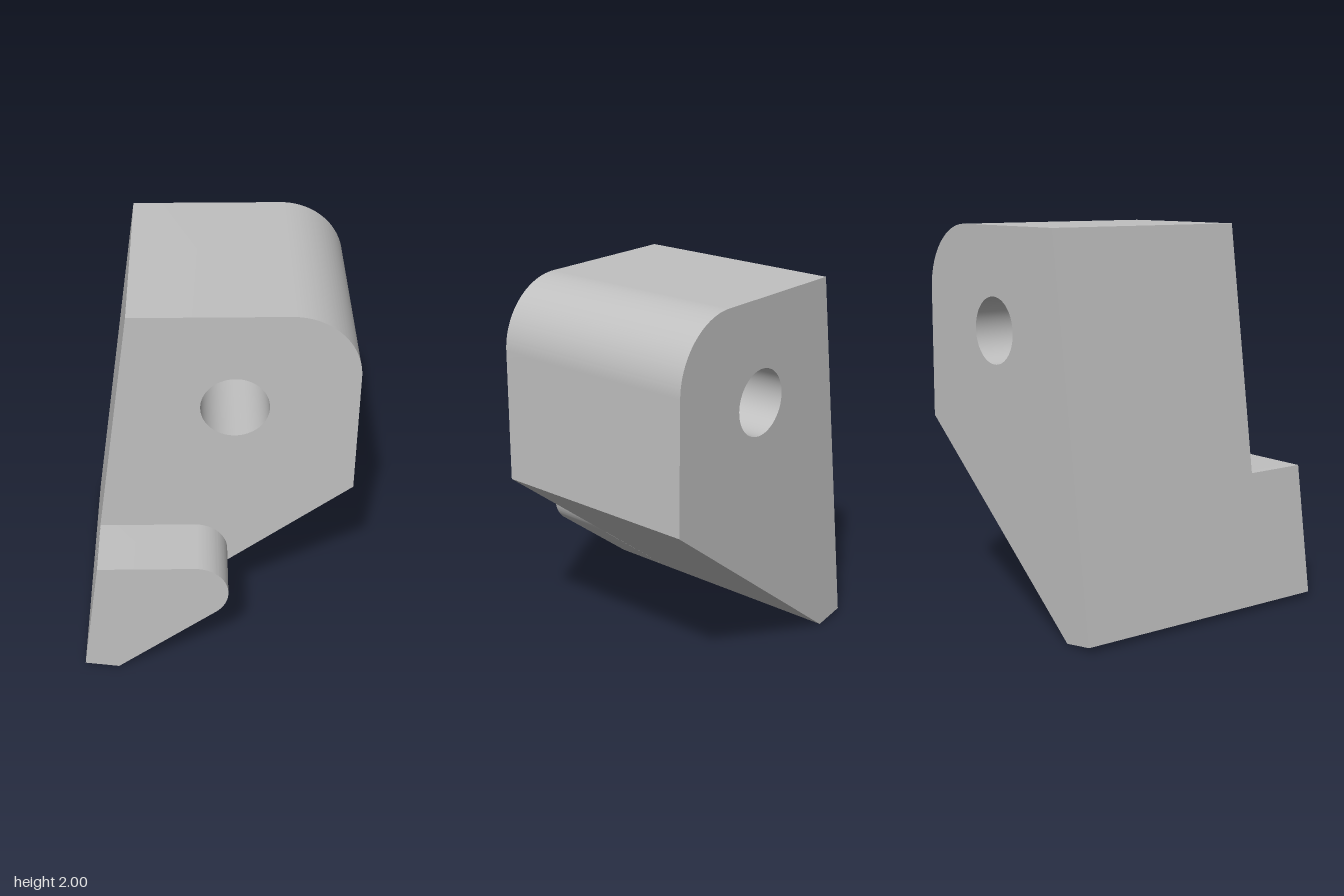
import * as THREE from 'three';
import { toCreasedNormals } from 'three/addons/utils/BufferGeometryUtils.js';

const BACK = -0.735, STEP = 0.395, FRONT = 0.735;

// Extrude a profile in the xy plane between two depths, keeping arcs smooth and corners sharp
function slab(name, shape, z0, z1, material) {
  const geometry = new THREE.ExtrudeGeometry(shape, { depth: z1 - z0, bevelEnabled: false, curveSegments: 32 });
  geometry.translate(0, 0, z0);
  const mesh = new THREE.Mesh(toCreasedNormals(geometry, 0.5), material);
  mesh.name = name;
  return mesh;
}

// Both profiles share the chamfered tip at the bottom
function startAtTip() {
  const shape = new THREE.Shape();
  shape.moveTo(-0.706, 0.028);
  shape.lineTo(-0.527, 0);
  return shape;
}

export function createModel() {
  const group = new THREE.Group();
  group.name = 'bracket';
  const grey = new THREE.MeshStandardMaterial({ color: 0xc0c0c0 });
  grey.name = 'plain grey';

  // Main block: tapered profile, one rounded top corner, through hole
  const body = startAtTip();
  body.lineTo(0.706, 0.96);
  body.lineTo(0.706, 1.65);
  body.absarc(0.356, 1.65, 0.35, 0, Math.PI / 2, false);
  body.lineTo(-0.428, 2);
  body.closePath();
  const bore = new THREE.Path();
  bore.absarc(0.092, 1.473, 0.172, 0, Math.PI * 2, true);
  body.holes.push(bore);
  group.add(slab('mainBlock', body, BACK, STEP, grey));

  // Front foot: lower step whose rounded nose is tangent to the sloping underside
  const foot = startAtTip();
  const slope = Math.atan2(0.96, 1.233);
  foot.absarc(-0.114, 0.538, 0.172, slope - Math.PI / 2, Math.PI / 2, false);
  foot.lineTo(-0.609, 0.71);
  foot.closePath();
  group.add(slab('frontFoot', foot, STEP, FRONT, grey));

  return group;
}
